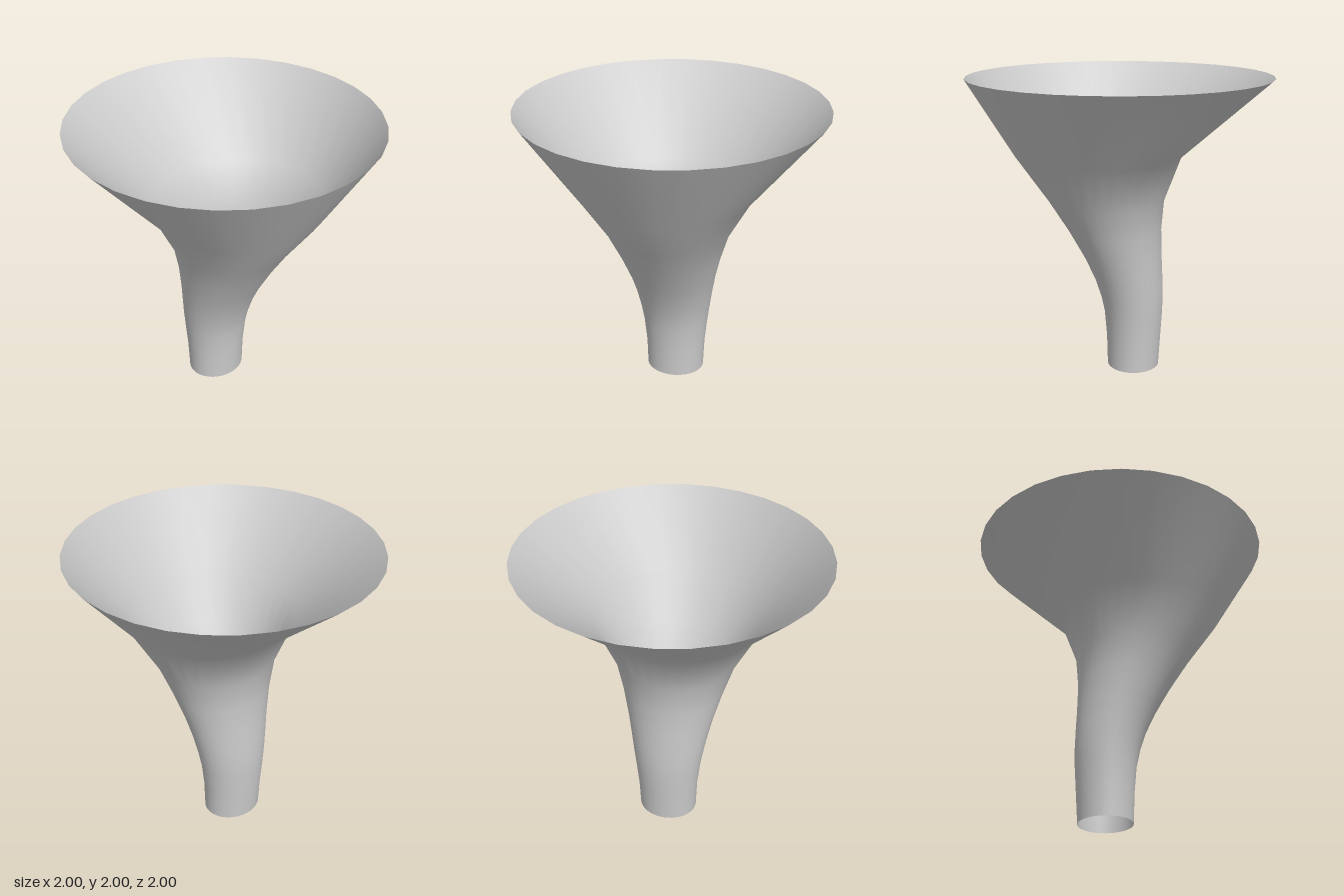
import * as THREE from 'three';
import { mergeVertices } from 'three/addons/utils/BufferGeometryUtils.js';

// Horizontal elliptical rings, top to bottom: [height, left edge x, right edge x, depth radius]
const RINGS = [
  [2.0, -1.0, 1.0, 1.0],
  [1.485, -0.41, 0.69, 0.57],
  [1.185, -0.298, 0.48, 0.41],
  [0.97, -0.28, 0.345, 0.343],
  [0.78, -0.285, 0.24, 0.295],
  [0.63, -0.292, 0.172, 0.266],
  [0.5, -0.296, 0.13, 0.245],
  [0.38, -0.293, 0.105, 0.228],
  [0.2, -0.282, 0.09, 0.21],
  [0.0, -0.27, 0.085, 0.203],
];
const SIDES = 32;

export function createModel() {
  const group = new THREE.Group();
  group.name = 'funnel';

  // Open tube whose rows are reshaped to the rings
  let geometry = new THREE.CylinderGeometry(1, 1, 1, SIDES, RINGS.length - 1, true);
  const pos = geometry.attributes.position;
  for (let i = 0; i < pos.count; i++) {
    const [y, x0, x1, rz] = RINGS[Math.floor(i / (SIDES + 1))];
    pos.setXYZ(i, (x0 + x1) / 2 + pos.getX(i) * (x1 - x0) / 2, y, pos.getZ(i) * rz);
  }

  // Weld the seam so shading is smooth all round
  geometry.deleteAttribute('uv');
  geometry.deleteAttribute('normal');
  geometry = mergeVertices(geometry, 1e-4);
  geometry.computeVertexNormals();

  const wall = new THREE.Mesh(
    geometry,
    new THREE.MeshStandardMaterial({ color: 0xcccccc, side: THREE.DoubleSide })
  );
  wall.name = 'funnelWall';
  group.add(wall);
  return group;
}
